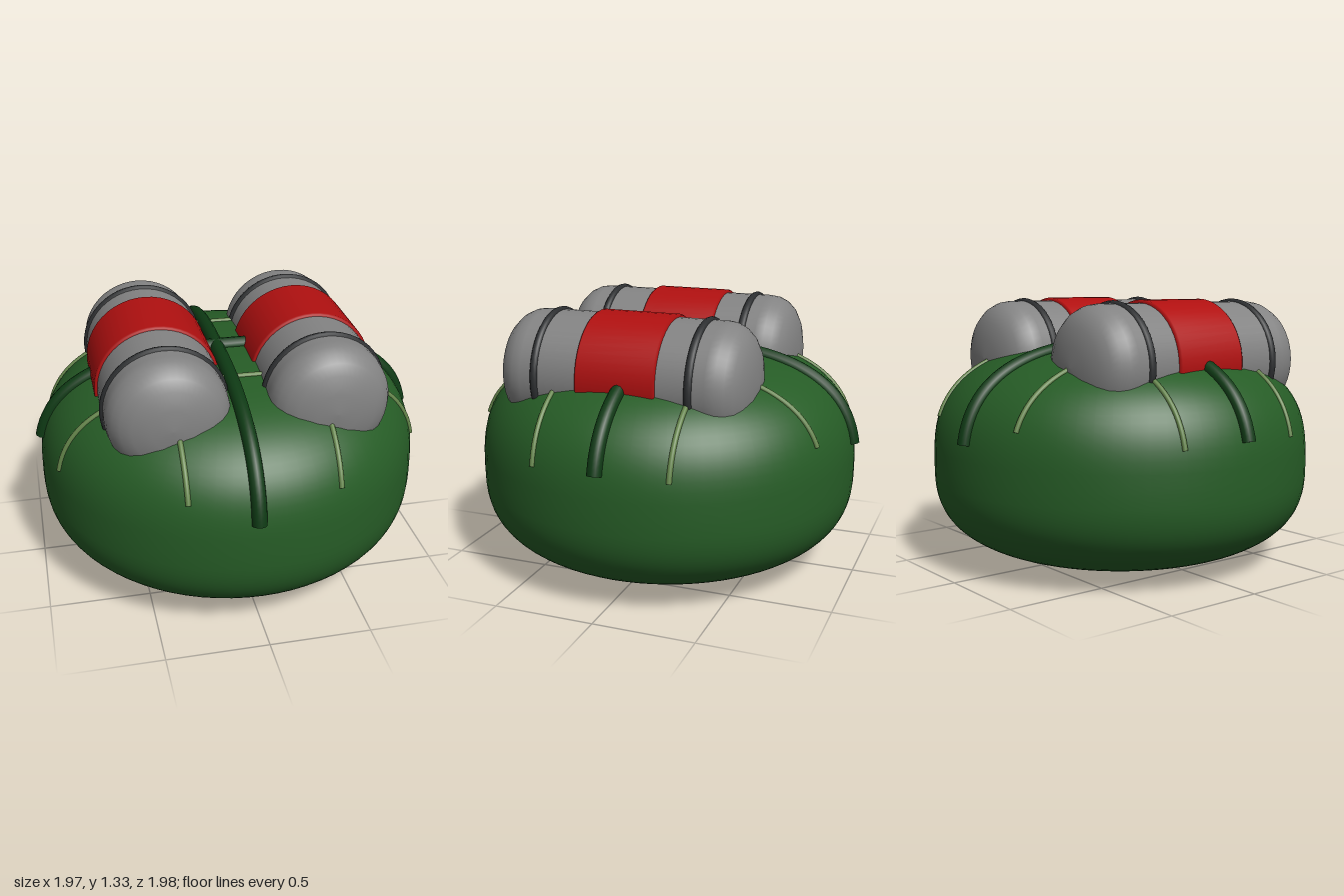
import * as THREE from 'three';

const MID = 0.5, TOP = 0.61, RADIUS = 0.965, POWER = 2.8;

// Height of the rounded body's upper surface
function surfaceY(x, z) {
  const q = Math.min(1, Math.hypot(x, z) / RADIUS);
  return MID + TOP * Math.pow(1 - Math.pow(q, POWER), 1 / POWER);
}

function material(name, color) {
  const m = new THREE.MeshStandardMaterial({ color });
  m.name = name;
  return m;
}

function addMesh(parent, name, geometry, mat) {
  const mesh = new THREE.Mesh(geometry, mat);
  mesh.name = name;
  parent.add(mesh);
  return mesh;
}

// Lathe turned to lie along z; profile is [radius, z] pairs from back to front
function latheZ(profile, segments = 48) {
  const pts = profile.map(([r, z]) => new THREE.Vector2(r, z));
  return new THREE.LatheGeometry(pts, segments).rotateX(Math.PI / 2);
}

export function createModel() {
  const model = new THREE.Group();
  model.name = 'model';
  const green = material('body green', 0x265c26);
  const darkGreen = material('strap green', 0x0e3a14);
  const paleGreen = material('seam green', 0x64844a);
  const grey = material('tank grey', 0x838383);
  const red = material('sleeve red', 0xb01010);
  const black = material('band black', 0x2c2e30);

  // Squashed rounded body
  const profile = [];
  for (let i = 0; i <= 48; i++) {
    const a = -Math.PI / 2 + (Math.PI * i) / 48;
    const c = Math.max(0, Math.cos(a)), s = Math.sin(a);
    const r = RADIUS * Math.pow(c, 2 / POWER);
    const h = Math.sign(s) * Math.pow(Math.abs(s), 2 / POWER);
    profile.push(new THREE.Vector2(i % 48 ? r : 0, MID + h * (s > 0 ? TOP : MID)));
  }
  addMesh(model, 'body', new THREE.LatheGeometry(profile, 72), green);

  // Cords that follow the top of the body, along x or z
  function addCord(name, axis, offset, reach, radius, mat) {
    const points = [];
    for (let i = 0; i <= 40; i++) {
      const s = reach * Math.sin(Math.PI * (i / 40 - 0.5));
      const [x, z] = axis === 'x' ? [s, offset] : [offset, s];
      points.push(new THREE.Vector3(x, surfaceY(x, z), z));
    }
    const curve = new THREE.CatmullRomCurve3(points);
    const cord = new THREE.Group();
    cord.name = name;
    addMesh(cord, 'cord', new THREE.TubeGeometry(curve, 80, radius, 12), mat);
    for (const t of [0, 1]) {
      const cap = addMesh(cord, 'cordEnd', new THREE.CircleGeometry(radius, 12), mat);
      cap.position.copy(curve.getPointAt(t));
      const out = curve.getTangentAt(t).multiplyScalar(t ? 1 : -1);
      cap.quaternion.setFromUnitVectors(new THREE.Vector3(0, 0, 1), out);
    }
    model.add(cord);
  }
  addCord('crossStrap', 'x', -0.005, 0.95, 0.036, darkGreen);
  addCord('lengthStrap', 'z', -0.05, 0.955, 0.036, darkGreen);
  for (const side of [-1, 1]) {
    addCord('crossSeam', 'x', side * 0.335, 0.892, 0.013, paleGreen);
    addCord('lengthSeam', 'z', side * 0.355, 0.866, 0.013, paleGreen);
  }

  // Pair of tanks sunk into the top
  const end = [[0, 0.637], [0.1, 0.632], [0.185, 0.608], [0.235, 0.58], [0.268, 0.545], [0.287, 0.505], [0.293, 0.46]];
  const tankProfile = [...end.map(([r, z]) => [r, -z]), ...end.slice().reverse()];
  const sleeveProfile = [[0.285, -0.198], [0.302, -0.198], [0.308, -0.188], [0.308, 0.188], [0.302, 0.198], [0.285, 0.198]];
  for (const side of [-1, 1]) {
    const tank = new THREE.Group();
    tank.name = side > 0 ? 'leftTank' : 'rightTank';
    tank.position.set(side * 0.383, 1.025, 0.045);
    addMesh(tank, 'tankShell', latheZ(tankProfile), grey);
    addMesh(tank, 'sleeve', latheZ(sleeveProfile), red).position.z = -0.03;
    for (const z of [-0.385, 0.385]) {
      addMesh(tank, 'band', new THREE.TorusGeometry(0.287, 0.02, 10, 48), black).position.z = z;
    }
    model.add(tank);
  }
  return model;
}
